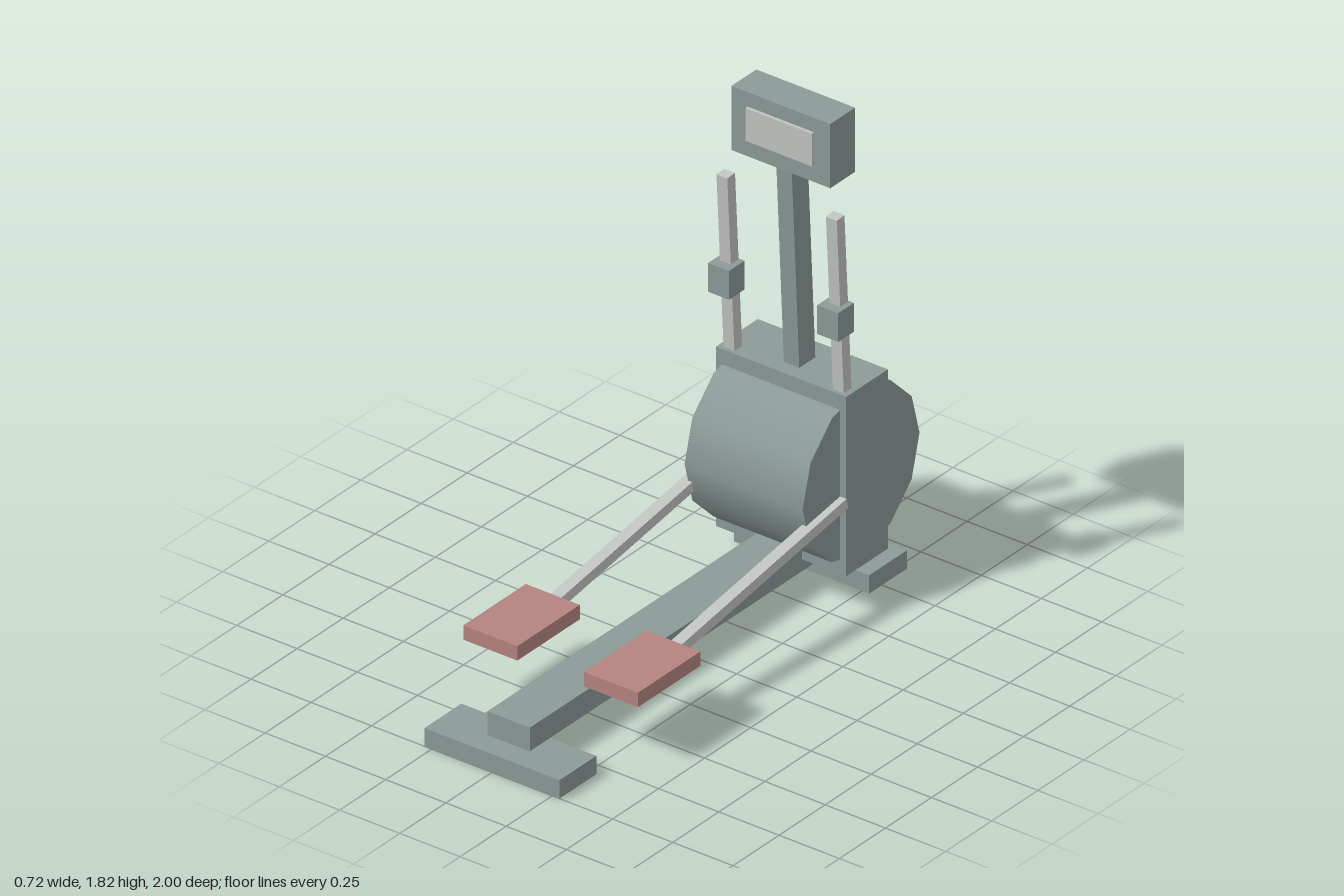
import * as THREE from 'three';

export function createModel() {
  const model = new THREE.Group();
  model.name = 'ellipticalTrainer';

  const material = (name, color) => {
    const m = new THREE.MeshStandardMaterial({ color });
    m.name = name;
    return m;
  };
  const frame = material('greyGreenFrame', 0x8b9a98);
  const metal = material('lightGreyMetal', 0xc2c4c2);
  const pad = material('dustyRedPedal', 0xb5847f);

  const add = (name, geometry, mat) => {
    const mesh = new THREE.Mesh(geometry, mat);
    mesh.name = name;
    model.add(mesh);
    return mesh;
  };

  // Box given by its extents along each axis
  const box = (name, mat, [x0, x1], [y0, y1], [z0, z1]) => {
    const mesh = add(name, new THREE.BoxGeometry(x1 - x0, y1 - y0, z1 - z0), mat);
    mesh.position.set((x0 + x1) / 2, (y0 + y1) / 2, (z0 + z1) / 2);
    return mesh;
  };

  // Square bar at a fixed x, running between two [y, z] points
  const bar = (name, mat, x, width, depth, [ya, za], [yb, zb]) => {
    const dy = yb - ya, dz = zb - za;
    const mesh = add(name, new THREE.BoxGeometry(width, Math.hypot(dy, dz), depth), mat);
    mesh.position.set(x, (ya + yb) / 2, (za + zb) / 2);
    mesh.rotation.x = Math.atan2(dz, dy);
    return mesh;
  };

  // Base: long beam on two cross feet
  box('frontFoot', frame, [-0.28, 0.28], [0, 0.07], [0.8, 1]);
  box('rearFoot', frame, [-0.28, 0.28], [0, 0.07], [-0.885, -0.68]);
  box('baseBeam', frame, [-0.088, 0.088], [0.07, 0.16], [-0.79, 0.91]);

  // Drive housing with the flywheel drum passing through it
  box('housing', frame, [-0.27, 0.27], [0.115, 0.8], [-0.795, -0.568]);
  const drum = add('flywheelDrum', new THREE.CylinderGeometry(0.317, 0.317, 0.49, 12), frame);
  drum.rotation.z = Math.PI / 2;
  drum.position.set(0, 0.455, -0.682);

  // Leaning mast and console
  bar('mast', frame, 0, 0.064, 0.087, [0.7, -0.674], [1.65, -0.624]);
  box('console', frame, [-0.205, 0.205], [1.575, 1.82], [-0.702, -0.567]);
  box('consoleScreen', metal, [-0.138, 0.138], [1.64, 1.765], [-0.57, -0.555]);

  // Handles, grips, pedal arms and pedals on both sides
  for (const [side, s] of [['left', 1], ['right', -1]]) {
    const span = (a, b) => (s > 0 ? [a, b] : [-b, -a]);
    bar(side + 'Handle', metal, s * 0.227, 0.045, 0.042, [0.7, -0.609], [1.478, -0.565]);
    box(side + 'Grip', frame, span(0.183, 0.27), [1.03, 1.14], [-0.61, -0.525]);
    bar(side + 'PedalArm', metal, s * 0.25, 0.044, 0.04, [0.231, 0.455], [0.392, -0.573]);
    box(side + 'Pedal', pad, span(0.138, 0.362), [0.23, 0.285], [0.343, 0.682]);
  }

  return model;
}
